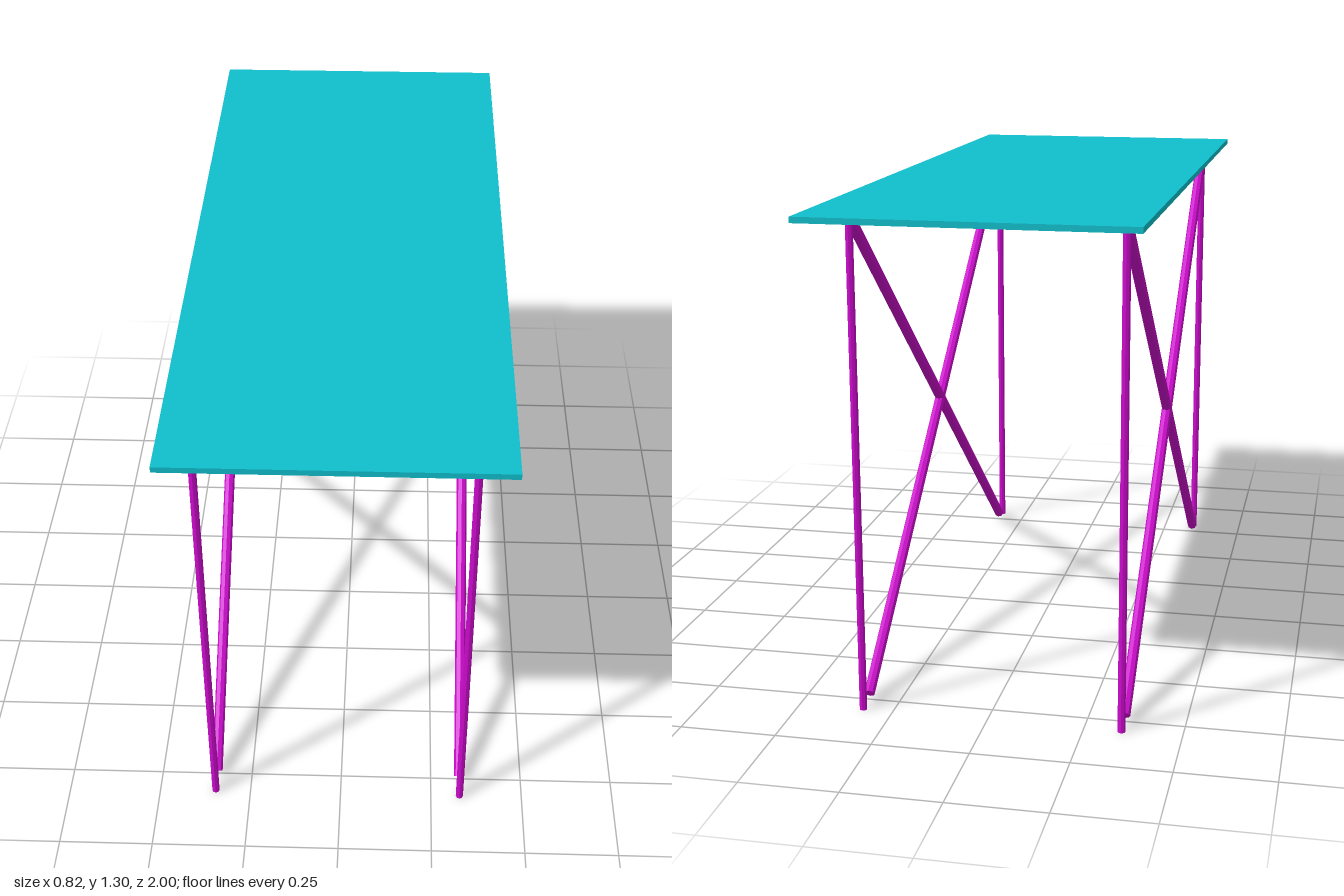
import * as THREE from 'three';

const TOP_Y = 1.29;
const POST_Z = 0.81;

export function createModel() {
  const table = new THREE.Group();
  table.name = 'table';
  const topMaterial = new THREE.MeshStandardMaterial({ color: 0x0fbfcc });
  const legMaterial = new THREE.MeshStandardMaterial({ color: 0xcc0acc, flatShading: true });

  // Straight bar between two points
  function bar(name, from, to, radius) {
    const direction = to.clone().sub(from);
    const mesh = new THREE.Mesh(
      new THREE.CylinderGeometry(radius, radius, direction.length(), 8), legMaterial);
    mesh.name = name;
    mesh.position.copy(from).add(to).multiplyScalar(0.5);
    mesh.quaternion.setFromUnitVectors(new THREE.Vector3(0, 1, 0), direction.normalize());
    return mesh;
  }

  // Thin flat top
  const top = new THREE.Mesh(new THREE.BoxGeometry(0.82, 0.015, 2), topMaterial);
  top.name = 'tableTop';
  top.position.y = TOP_Y + 0.0075;
  table.add(top);

  // Each side frame: two upright posts and two crossing braces
  for (const [side, x] of [['left', 0.329], ['right', -0.346]]) {
    const frame = new THREE.Group();
    frame.name = side + 'Frame';
    for (const [end, s] of [['Front', 1], ['Back', -1]]) {
      const at = (y, z) => new THREE.Vector3(x, y, z * s);
      frame.add(bar(side + end + 'Post', at(0, POST_Z), at(TOP_Y, POST_Z), 0.01));
      frame.add(bar(side + end + 'Brace', at(1.283, POST_Z), at(0.02, -0.757), 0.0145));
    }
    table.add(frame);
  }
  return table;
}
